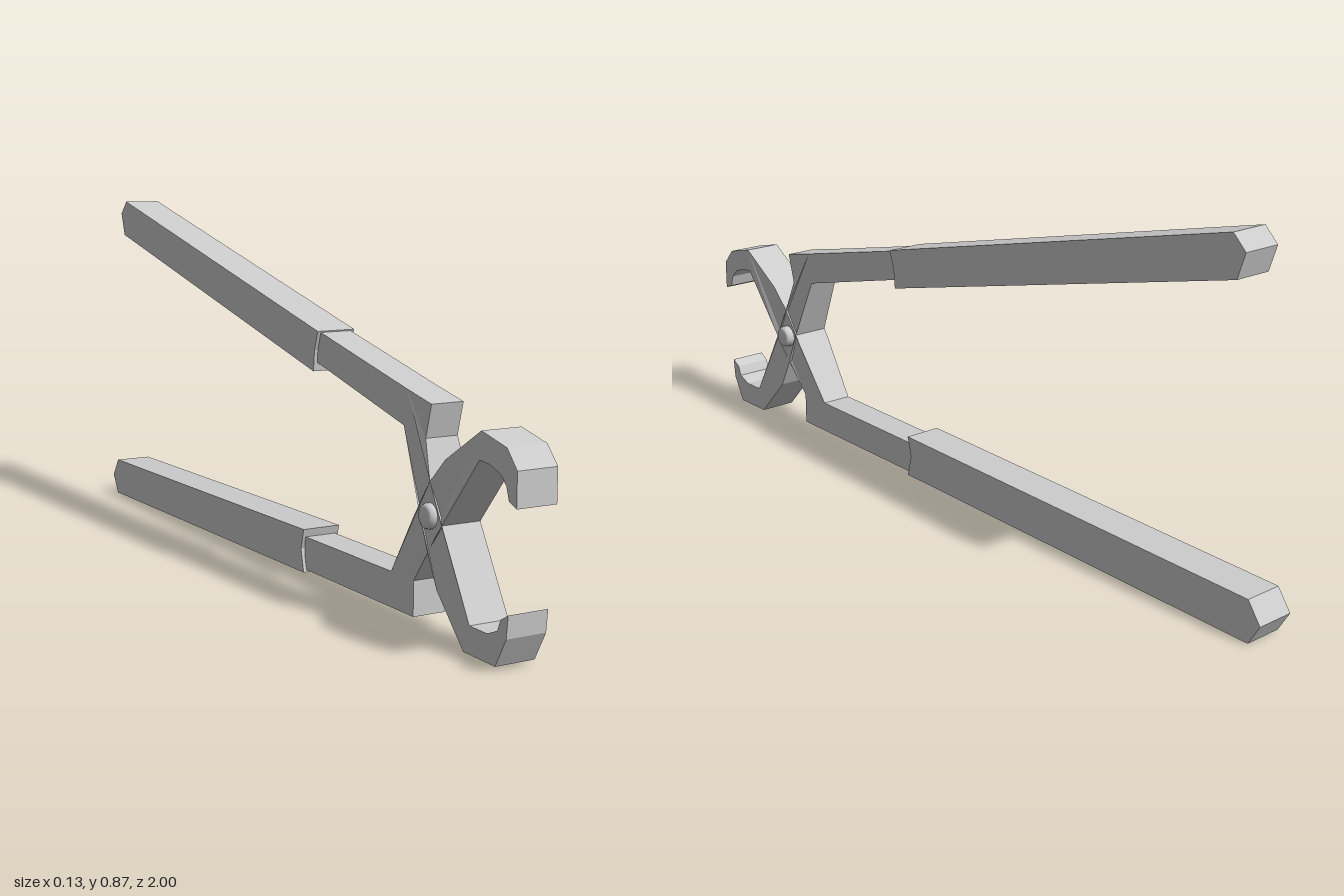
import * as THREE from 'three';

const JAW = 0.0485;   // half width of jaws and grips
const SHANK = 0.04;   // half width of the bare shanks
const CENTER_X = -0.003;
const PIVOT = { y: 0.266, z: 0.697 };

const material = new THREE.MeshStandardMaterial({ color: 0xcccccc, flatShading: true });
const smooth = new THREE.MeshStandardMaterial({ color: 0xcccccc });

// Extrudes a [z, y] side profile across x; the shanks narrow behind the pivot
function profilePart(name, points, narrowShank) {
  const shape = new THREE.Shape(points.map(([z, y]) => new THREE.Vector2(z, y)));
  const geo = new THREE.ExtrudeGeometry(shape, { depth: 2 * JAW, bevelEnabled: false });
  geo.translate(0, 0, -JAW);
  geo.rotateY(-Math.PI / 2);
  const pos = geo.attributes.position;
  for (let i = 0; i < pos.count; i++) {
    const z = pos.getZ(i);
    const far = Math.hypot(z - PIVOT.z, pos.getY(i) - PIVOT.y) > 0.14;
    if (narrowShank && far && z < 0.7) pos.setX(i, Math.sign(pos.getX(i)) * SHANK);
  }
  geo.translate(CENTER_X, 0, 0);
  geo.computeVertexNormals();
  const mesh = new THREE.Mesh(geo, material);
  mesh.name = name;
  return mesh;
}

export function createModel() {
  const model = new THREE.Group();
  model.name = 'pincers';

  // Upper jaw, crossing the pivot into the lower shank
  model.add(profilePart('upperJawLowerShank', [
    [1, 0.34], [0.975, 0.35], [0.965, 0.38], [0.945, 0.4], [0.91, 0.412], [0.875, 0.415],
    [0.75, 0.26], [0.72, 0.222], [0.63, 0.11], [0.63, 0.03], [0.155, 0.025], [0.155, 0.105],
    [0.54, 0.11], [0.64, 0.254], [0.7, 0.34], [0.755, 0.395], [0.88, 0.475], [0.965, 0.455],
    [1, 0.415],
  ], true));

  // Lower jaw, crossing the pivot into the upper shank
  model.add(profilePart('lowerJawUpperShank', [
    [0.98, 0.125], [0.955, 0.11], [0.945, 0.085], [0.91, 0.07], [0.85, 0.07], [0.74, 0.265],
    [0.7, 0.34], [0.67, 0.425], [0.69, 0.5], [0.595, 0.52], [0.215, 0.605], [0.215, 0.53],
    [0.585, 0.44], [0.66, 0.27], [0.69, 0.195], [0.73, 0.115], [0.83, 0.01], [0.94, 0.01],
    [0.975, 0.075],
  ], true));

  // Sleeve grips with pointed ends
  model.add(profilePart('upperGrip', [
    [0.23, 0.605], [0.215, 0.56], [0.21, 0.51], [-0.89, 0.77], [-0.91, 0.83], [-0.875, 0.865],
  ], false));
  model.add(profilePart('lowerGrip', [
    [0.165, 0.125], [0.152, 0.075], [0.165, 0.02], [-0.97, 0], [-1, 0.05], [-0.965, 0.1],
  ], false));

  // Pivot rivet with rounded heads
  const rivetProfile = [
    [0, -0.064], [0.02, -0.064], [0.025, -0.061], [0.028, -0.054], [0.028, -0.046],
    [0.028, 0.046], [0.028, 0.054], [0.025, 0.061], [0.02, 0.064], [0, 0.064],
  ].map(([r, h]) => new THREE.Vector2(r, h));
  const rivet = new THREE.Mesh(new THREE.LatheGeometry(rivetProfile, 24), smooth);
  rivet.name = 'pivotRivet';
  rivet.rotation.z = Math.PI / 2;
  rivet.position.set(0, PIVOT.y, PIVOT.z);
  model.add(rivet);

  return model;
}
